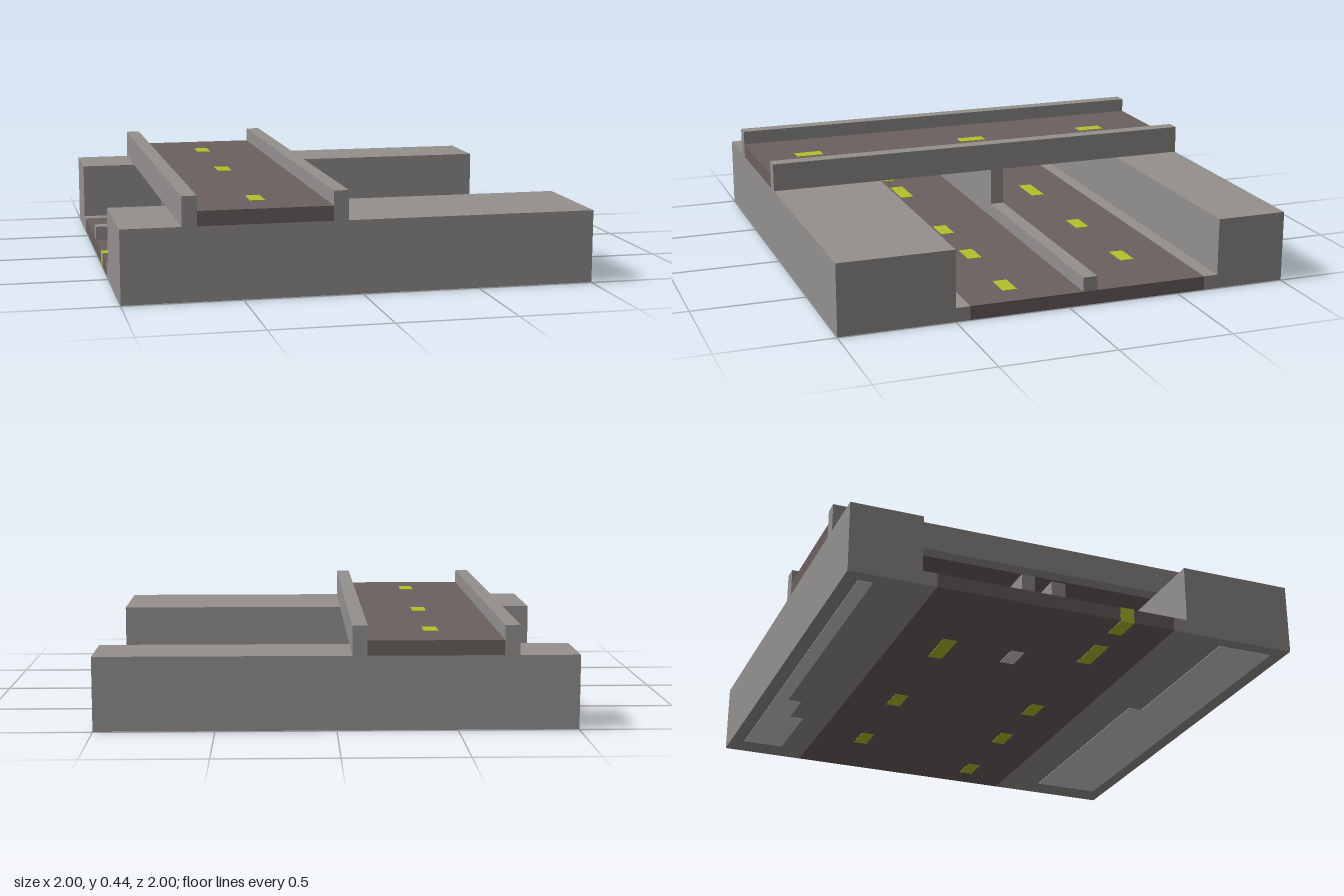
import * as THREE from 'three';

const U = 1 / 16; // grid step
const E = 0.002;  // how far painted details stand proud

export function createModel() {
  const root = new THREE.Group();
  const material = (name, color) => {
    const m = new THREE.MeshStandardMaterial({ color });
    m.name = name;
    return m;
  };
  const concrete = material('concrete grey', 0x93908e);
  const asphalt = material('asphalt brown', 0x6a605f);
  const paint = material('lane yellow', 0xb3c02b);
  const pale = material('pale grey', 0xd0cecc);

  // Box given by its limits on each axis
  const block = (name, mat, x0, x1, y0, y1, z0, z1) => {
    const mesh = new THREE.Mesh(new THREE.BoxGeometry(x1 - x0, y1 - y0, z1 - z0), mat);
    mesh.position.set((x0 + x1) / 2, (y0 + y1) / 2, (z0 + z1) / 2);
    mesh.name = name;
    root.add(mesh);
  };

  // Raised banks on both sides of the sunken road
  block('frontBank', concrete, -1, 1, E, 5 * U, 0.5, 1);
  block('backBank', concrete, -1, 1, E, 5 * U, -1, -11 * U);

  // Lower road with kerbs and a median
  block('lowerRoad', asphalt, -1, 1, E, U, -10 * U, 7 * U);
  block('frontKerb', concrete, -1, 1, E, U, 7 * U, 8 * U);
  block('backKerb', concrete, -1, 1, E, U, -11 * U, -10 * U);
  block('median', concrete, -1, 1, U, 2 * U, -2 * U, -U);

  // Bridge with its supporting wall
  block('bridgeWall', concrete, -11 * U, -2 * U, 2 * U, 5 * U, -2 * U, -U);
  block('bridgeDeck', asphalt, -11 * U, -2 * U, 5 * U, 6 * U, -1, 1);
  block('bridgeParapet', concrete, -12 * U, -11 * U, 5 * U, 7 * U, -1, 1);
  block('bridgeParapet', concrete, -2 * U, -U, 5 * U, 7 * U, -1, 1);

  // Lane dashes on the lower road reach through to its underside: [start, end] in grid steps
  const lanes = [
    { z: -7, dashes: [[-9, -6], [1, 3], [9, 11]] },
    { z: 3, dashes: [[-16, -14], [-12, -9], [-1, 1], [5, 7], [12, 14]] },
  ];
  for (const { z, dashes } of lanes) {
    for (const [a, b] of dashes) {
      const start = a === -16 ? -1 - E / 2 : a * U;
      block('lowerLaneDash', paint, start, b * U, 0, U + E, z * U, (z + 1) * U);
    }
  }
  // Lane dashes on the bridge
  for (const z of [-12, -2, 11]) {
    block('bridgeLaneDash', paint, -7 * U, -6 * U, 6 * U - E, 6 * U + E, z * U, (z + 2) * U);
  }

  // Pale patches on the underside: [x0, x1, z0, z1] in grid steps
  const patches = [
    [-15, -3, 11, 15], [-3, 14, 10, 15],
    [-15, 5, -15, -14], [5, 14, -15, -13], [8, 14, -13, -12],
    [-9, -7, -2, -1],
  ];
  for (const [x0, x1, z0, z1] of patches) {
    block('undersidePatch', pale, x0 * U, x1 * U, 0, 2 * E, z0 * U, z1 * U);
  }
  return root;
}
